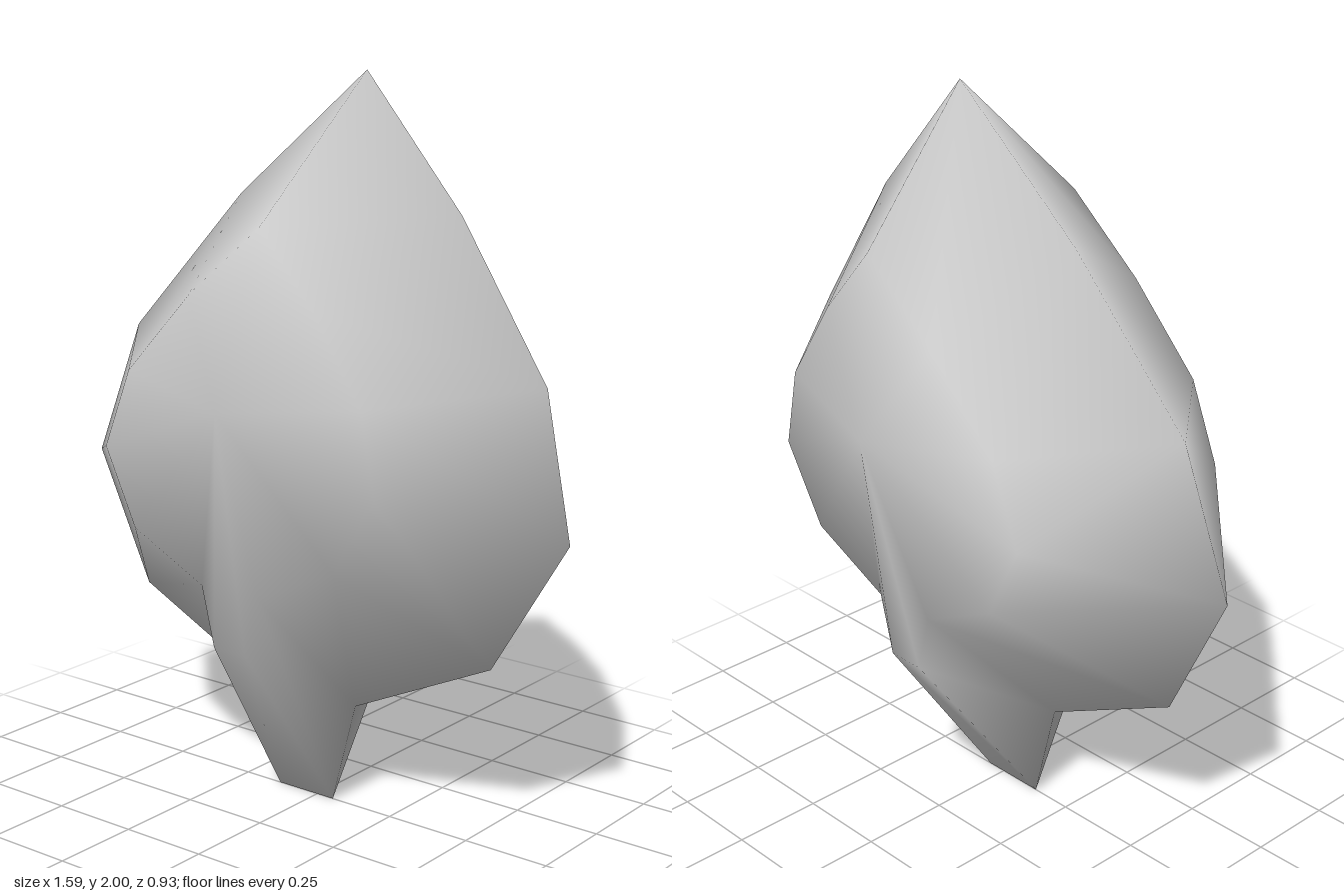
import * as THREE from 'three';

// Outline in the z = 0 plane, clockwise from the tip as seen from the front.
const OUTLINE = [
  [0.16, 2], [0.457, 1.656], [0.717, 1.255], [0.794, 0.867], [0.568, 0.493],
  [0.132, 0.29], [0.055, 0], [-0.132, 0], [-0.203, 0.29], [-0.62, 0.495],
  [-0.797, 0.867], [-0.64, 1.255], [-0.257, 1.656],
];
const CENTRE = [0.04, 1.18];
const INSET = 0.56;        // size of the raised ring relative to the outline
const RING_DEPTH = 0.364;
const CENTRE_DEPTH = 0.463;

// Closed, smooth leaf body: shared rim, one raised ring and one centre per side.
function leafGeometry() {
  const n = OUTLINE.length;
  const positions = [];
  const index = [];
  for (const [x, y] of OUTLINE) positions.push(x, y, 0);

  for (const side of [1, -1]) {
    const ring = positions.length / 3;
    const centre = ring + n;
    for (const [x, y] of OUTLINE) {
      positions.push(
        CENTRE[0] + (x - CENTRE[0]) * INSET,
        CENTRE[1] + (y - CENTRE[1]) * INSET,
        side * RING_DEPTH,
      );
    }
    positions.push(CENTRE[0], CENTRE[1], side * CENTRE_DEPTH);

    const face = (a, b, c) => (side > 0 ? index.push(a, b, c) : index.push(a, c, b));
    for (let i = 0; i < n; i++) {
      const j = (i + 1) % n;
      face(i, ring + i, j);              // flank
      face(j, ring + i, ring + j);
      face(centre, ring + j, ring + i);  // crown
    }
  }

  const geometry = new THREE.BufferGeometry();
  geometry.setAttribute('position', new THREE.Float32BufferAttribute(positions, 3));
  geometry.setIndex(index);
  geometry.computeVertexNormals();
  return geometry;
}

export function createModel() {
  const group = new THREE.Group();
  group.name = 'leaf';
  const grey = new THREE.MeshStandardMaterial({ color: 0xcccccc });
  grey.name = 'light grey';
  const body = new THREE.Mesh(leafGeometry(), grey);
  body.name = 'leafBody';
  group.add(body);
  return group;
}
